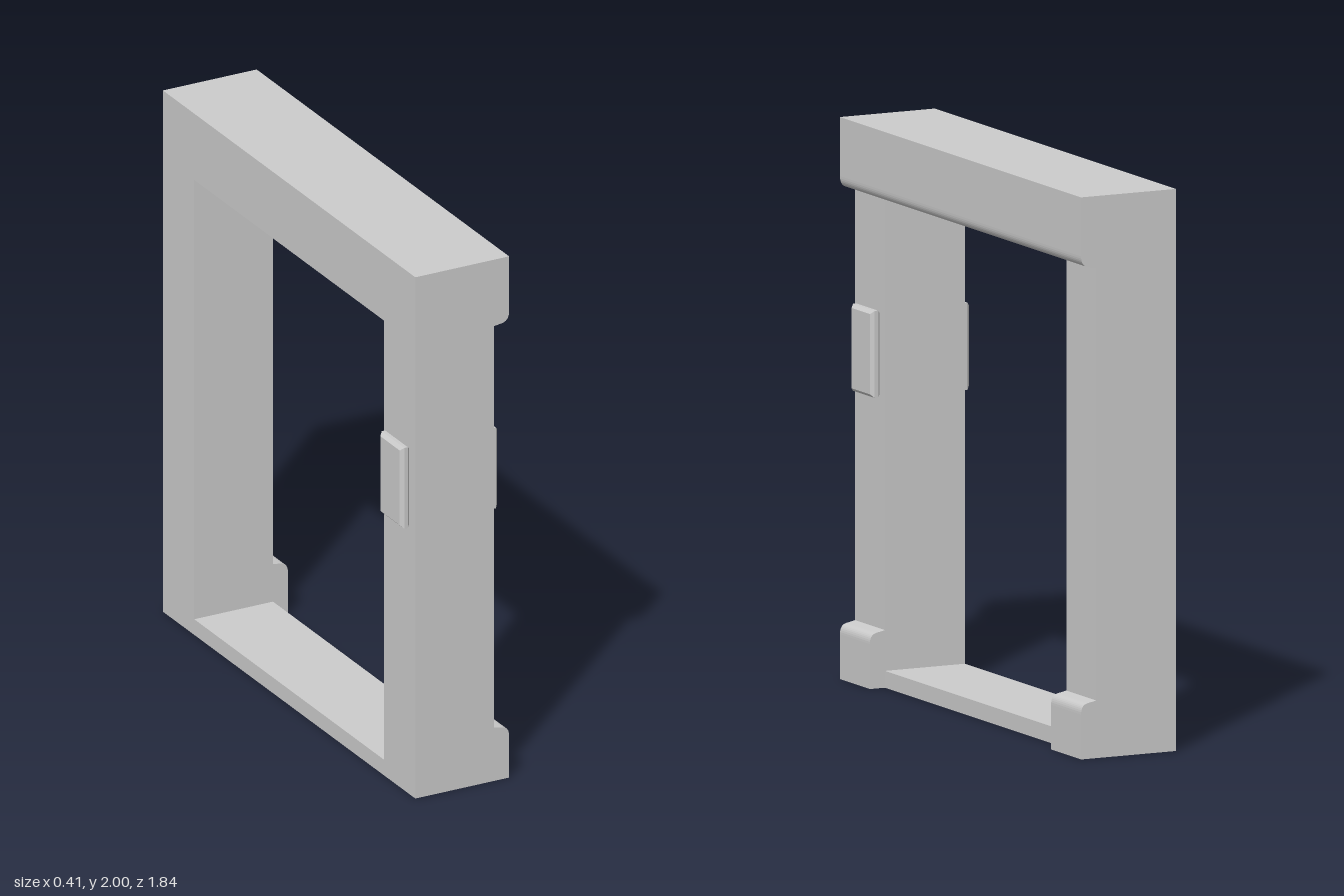
import * as THREE from 'three';

const BACK = -0.17, FACE = 0.145, LIP = 0.205; // x planes of the frame
const HALF = 0.918, INNER = 0.69;              // outer and inner z of the posts
const HEAD = 1.745, SILL = 0.06;               // opening top and bottom

const material = new THREE.MeshStandardMaterial({ color: 0xcccccc });

// Extrudes an x-y profile between two z planes
function extrudeZ(name, shape, z0, z1) {
  const geometry = new THREE.ExtrudeGeometry(shape, { depth: z1 - z0, bevelEnabled: false, curveSegments: 8 });
  const mesh = new THREE.Mesh(geometry, material);
  mesh.name = name;
  mesh.position.z = z0;
  return mesh;
}

// Rounded underside of the lintel lip, running inward to the face
function lintelLip(shape) {
  shape.lineTo(LIP, 1.79);
  shape.quadraticCurveTo(LIP, 1.757, 0.18, 1.75);
  shape.lineTo(FACE, HEAD);
}

// Side post with projecting foot and head
function postShape() {
  const s = new THREE.Shape();
  s.moveTo(BACK, 0);
  s.lineTo(LIP, 0);
  s.lineTo(LIP, 0.16);
  s.quadraticCurveTo(LIP, 0.193, 0.18, 0.198);
  s.lineTo(FACE, 0.205);
  s.lineTo(FACE, HEAD);
  const head = new THREE.Shape();
  head.moveTo(FACE, HEAD);
  s.lineTo(0.18, 1.75);
  s.quadraticCurveTo(LIP, 1.757, LIP, 1.79);
  s.lineTo(LIP, 2);
  s.lineTo(BACK, 2);
  s.closePath();
  return s;
}

// Lintel with a guide slot in its underside
function lintelShape() {
  const s = new THREE.Shape();
  s.moveTo(BACK, 2);
  s.lineTo(LIP, 2);
  lintelLip(s);
  s.lineTo(0.015, HEAD);
  s.lineTo(0.015, HEAD + 0.07);
  s.lineTo(-0.075, HEAD + 0.07);
  s.lineTo(-0.075, HEAD);
  s.lineTo(BACK, HEAD);
  s.closePath();
  return s;
}

// Chamfered plate standing on a post face
function plate(name, x) {
  const t = 0.038, c = 0.012, w = 0.165 - 2 * c, h = 0.31 - 2 * c;
  const s = new THREE.Shape();
  s.moveTo(-w / 2, -h / 2);
  s.lineTo(w / 2, -h / 2);
  s.lineTo(w / 2, h / 2);
  s.lineTo(-w / 2, h / 2);
  s.closePath();
  const geometry = new THREE.ExtrudeGeometry(s, {
    depth: t - 2 * c, bevelEnabled: true, bevelThickness: c, bevelSize: c, bevelSegments: 1,
  });
  geometry.center();
  geometry.rotateY(Math.PI / 2);
  const mesh = new THREE.Mesh(geometry, material);
  mesh.name = name;
  mesh.position.set(x, 1.183, 0.803);
  return mesh;
}

export function createModel() {
  const group = new THREE.Group();
  group.name = 'doorFrame';

  group.add(extrudeZ('frontPost', postShape(), INNER, HALF));
  group.add(extrudeZ('backPost', postShape(), -HALF, -INNER));
  group.add(extrudeZ('lintel', lintelShape(), -INNER, INNER));

  // Threshold between the posts
  const sill = new THREE.Mesh(new THREE.BoxGeometry(FACE - BACK, SILL, INNER * 2), material);
  sill.name = 'sill';
  sill.position.set((FACE + BACK) / 2, SILL / 2, 0);
  group.add(sill);

  // Control plates on both faces of the front post
  group.add(plate('outerPlate', FACE + 0.018));
  group.add(plate('innerPlate', BACK - 0.019));

  return group;
}
